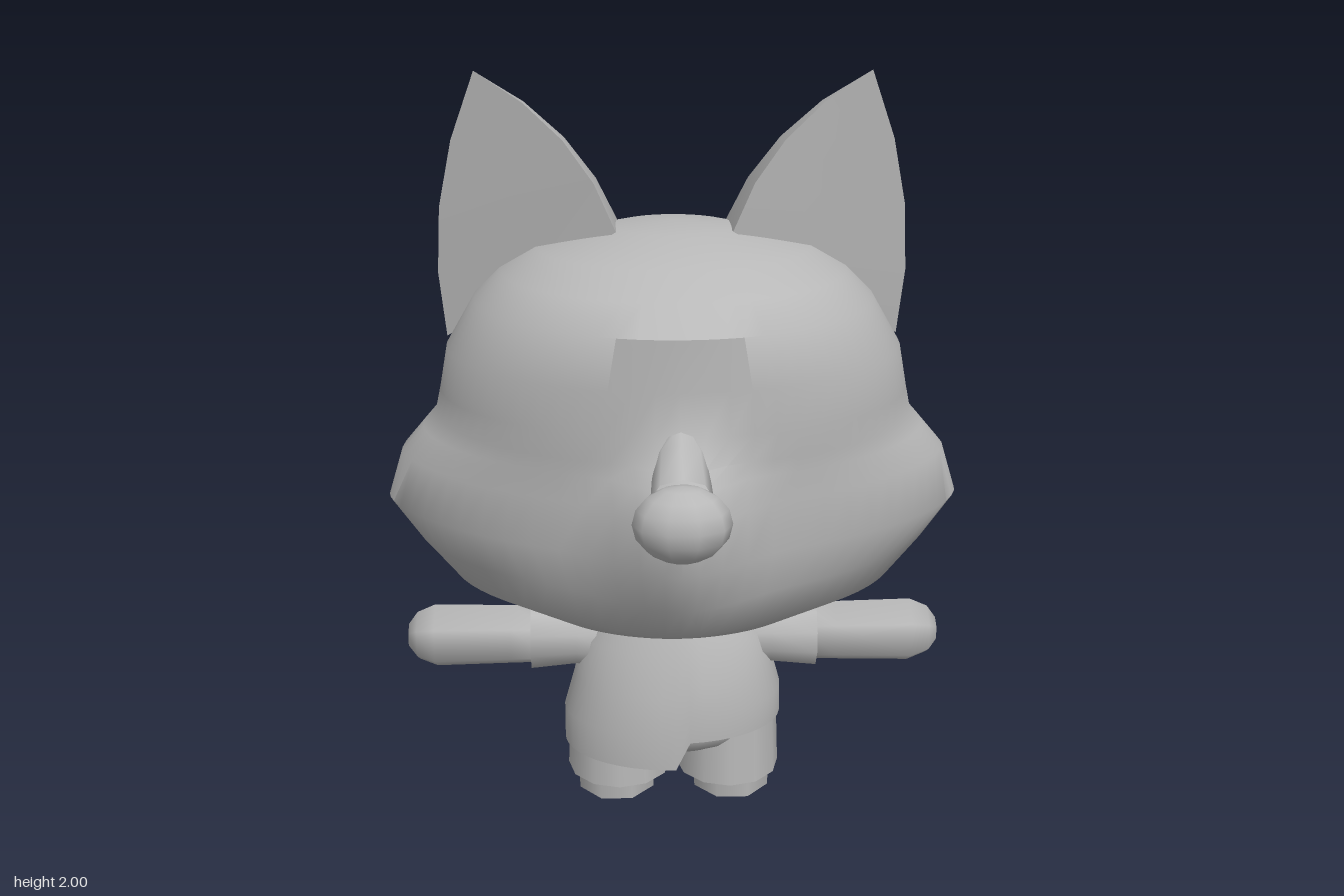
import * as THREE from 'three';
import { toCreasedNormals } from 'three/addons/utils/BufferGeometryUtils.js';

const V = (x, y, z) => new THREE.Vector3(x, y, z);

// Skin a list of equal-length rings, smooth except at edges sharper than crease.
function loft(rings, crease = 0.7, closed = true) {
  const n = rings[0].length, index = [];
  for (let i = 0; i < rings.length - 1; i++) {
    for (let j = 0; j < (closed ? n : n - 1); j++) {
      const k = (j + 1) % n;
      const a = i * n + j, b = i * n + k, c = a + n, d = b + n;
      index.push(a, c, b, b, c, d);
    }
  }
  const geo = new THREE.BufferGeometry().setFromPoints(rings.flat());
  geo.setIndex(index);
  return toCreasedNormals(geo, crease);
}

// Sweep a round section along points [x, y, z, radius].
function sweep(path, ref, sides, crease = 1) {
  const at = (i) => V(...path[Math.min(Math.max(i, 0), path.length - 1)].slice(0, 3));
  return loft(path.map((p, i) => {
    const t = at(i + 1).sub(at(i - 1)).normalize();
    const n2 = ref.clone().cross(t).normalize();
    return Array.from({ length: sides }, (_, j) => {
      const a = (j / sides) * Math.PI * 2;
      return at(i).addScaledVector(ref, Math.cos(a) * p[3]).addScaledVector(n2, Math.sin(a) * p[3]);
    });
  }), crease);
}

// Head sections: y, half width, front z, back z, muzzle depth, muzzle half width, front roundness.
const HEAD = [
  [0.495, 0, 0, 0, 0, 0.3, 2],
  [0.505, 0.16, 0.12, 0.1, 0, 0.3, 2],
  [0.55, 0.36, 0.28, 0.25, 0, 0.3, 1.9],
  [0.66, 0.6, 0.47, 0.43, 0.06, 0.34, 1.7],
  [0.76, 0.69, 0.52, 0.52, 0.085, 0.32, 1.6],
  [0.87, 0.77, 0.535, 0.59, 0.125, 0.3, 1.6],
  [1.0, 0.73, 0.535, 0.625, 0.15, 0.26, 1.65],
  [1.07, 0.67, 0.53, 0.64, 0.12, 0.2, 1.8],
  [1.11, 0.635, 0.53, 0.64, 0.07, 0.16, 1.9],
  [1.18, 0.62, 0.53, 0.638, 0.01, 0.14, 2],
  [1.29, 0.6, 0.53, 0.615, 0, 0.1, 2],
  [1.42, 0.525, 0.53, 0.545, 0, 0.1, 2],
  [1.49, 0.455, 0.45, 0.47, 0, 0.1, 2],
  [1.55, 0.36, 0.355, 0.37, 0, 0.1, 2],
  [1.6, 0.16, 0.16, 0.16, 0, 0.1, 2],
  [1.612, 0, 0, 0, 0, 0.1, 2],
];

function headGeometry() {
  const sides = 64;
  return loft(HEAD.map(([y, w, front, back, bump, bw, round]) =>
    Array.from({ length: sides }, (_, j) => {
      const a = (j / sides) * Math.PI * 2, c = Math.cos(a), s = Math.sin(a);
      const e = s > 0 ? 2 / round : 1;
      const x = w * Math.sign(c) * Math.abs(c) ** e;
      let z = Math.sign(s) * Math.abs(s) ** e * (s > 0 ? front : back);
      if (s > 0 && Math.abs(x) < bw) z += bump * Math.cos((x / bw) * Math.PI / 2) ** 2;
      return V(x, y, z);
    })), 0.8);
}

// Shirt with a hem that hangs lower on the right side.
function shirtGeometry() {
  const sides = 48;
  const rows = [[0, 0.3, 0.232], [0.25, 0.3, 0.235], [0.5, 0.278, 0.22], [0.8, 0.255, 0.195], [1, 0.2, 0.165]];
  return loft(rows.map(([t, rx, rz]) => Array.from({ length: sides }, (_, j) => {
    const a = (j / sides) * Math.PI * 2;
    const x = Math.cos(a), z = Math.sin(a);
    const side = z > 0 ? (x > 0.01 ? 1 : 0) : THREE.MathUtils.smoothstep(x, -0.6, 0.6);
    const hem = 0.14 + side * 0.08;
    return V(x * rx * (x < 0 && t < 0.3 ? 1.02 : 1), hem + (0.54 - hem) * t, z * rz);
  })), 0.9);
}

// Ear edges: base point and outward bow; all meet at the tip.
const EAR_TIP = V(0.505, 2, 0.04);
const EAR = [
  [V(0.15, 1.6, 0.105), V(-0.045, 0.03, 0.01)],
  [V(0.14, 1.58, -0.13), V(-0.04, 0.03, -0.02)],
  [V(0.22, 1.55, -0.335), V(-0.03, 0.03, -0.06)],
  [V(0.43, 1.43, -0.29), V(0.03, 0.03, -0.06)],
  [V(0.605, 1.29, -0.07), V(0.055, 0, -0.01)],
];

function earGeometry(edges, side, crease) {
  const order = side > 0 ? edges : [...edges].reverse();
  const rings = [0, 0.25, 0.5, 0.75, 1].map((t) => order.map(([base, bow]) => {
    const p = base.clone().lerp(EAR_TIP, t).addScaledVector(bow, 4 * t * (1 - t));
    p.x *= side;
    return p;
  }));
  return loft(rings, crease, false);
}

export function createModel() {
  const group = new THREE.Group();
  const clay = new THREE.MeshStandardMaterial({ color: 0xb8b8b8, side: THREE.DoubleSide });
  clay.name = 'grey';
  const add = (name, geo) => {
    const mesh = new THREE.Mesh(geo, clay);
    mesh.name = name;
    group.add(mesh);
    return mesh;
  };

  add('head', headGeometry());
  add('nose', new THREE.SphereGeometry(1, 10, 8).scale(0.12, 0.095, 0.09)).position.set(0, 1.005, 0.655);
  add('noseBridge', sweep([[0, 1.2, 0.5, 0.02], [0, 1.13, 0.53, 0.065], [0, 1.06, 0.63, 0.075]], V(1, 0, 0), 8));
  add('shirt', shirtGeometry());

  // Hips fill the shirt above the legs.
  add('hips', new THREE.SphereGeometry(1, 24, 12).scale(0.27, 0.1, 0.2)).position.set(0, 0.22, 0);

  // Gathered tuft at the back of the head.
  const along = (d, r) => [0, 0.77 - d * 0.71, -0.52 - d * 0.71, r];
  add('hairTuft', sweep([along(-0.05, 0.05), along(0.04, 0.06), along(0.09, 0.042), along(0.16, 0.073),
    along(0.23, 0.055), along(0.32, 0)], V(1, 0, 0), 6));

  // Short upturned tail.
  add('tail', sweep([[0, 0.27, -0.16, 0.05], [0, 0.275, -0.25, 0.055], [0, 0.29, -0.31, 0.05],
    [0, 0.33, -0.345, 0.03], [0, 0.377, -0.355, 0]], V(1, 0, 0), 8));

  for (const s of [1, -1]) {
    const side = s > 0 ? 'left' : 'right';
    add(side + 'EarBack', earGeometry(EAR, s, 1.2));
    add(side + 'EarFront', earGeometry([EAR[4], EAR[0]], s, 0.3));

    // Sleeve and mitten-like arm, reaching straight out.
    const X = (list) => list.map(([x, r]) => [x * s, 0.45, 0, r]);
    add(side + 'Sleeve', sweep(X([[0.15, 0.1], [0.27, 0.085], [0.395, 0.097], [0.395, 0.08]]), V(0, 1, 0), 10));
    add(side + 'Arm', sweep(X([[0.34, 0.085], [0.45, 0.087], [0.66, 0.092], [0.71, 0.07], [0.735, 0.035], [0.737, 0]]),
      V(0, 1, 0), 6, 1.1));

    // Trouser leg and foot.
    const leg = add(side + 'TrouserLeg', new THREE.CylinderGeometry(0.138, 0.145, 0.19, 12).scale(1, 1, 1.13));
    leg.position.set(0.153 * s, 0.15, 0);
    const foot = add(side + 'Foot', new THREE.CylinderGeometry(0.116, 0.112, 0.1, 8).rotateY(Math.PI / 8).scale(1, 1, 1.2));
    foot.position.set(0.162 * s, 0.05, 0);
  }
  return group;
}
